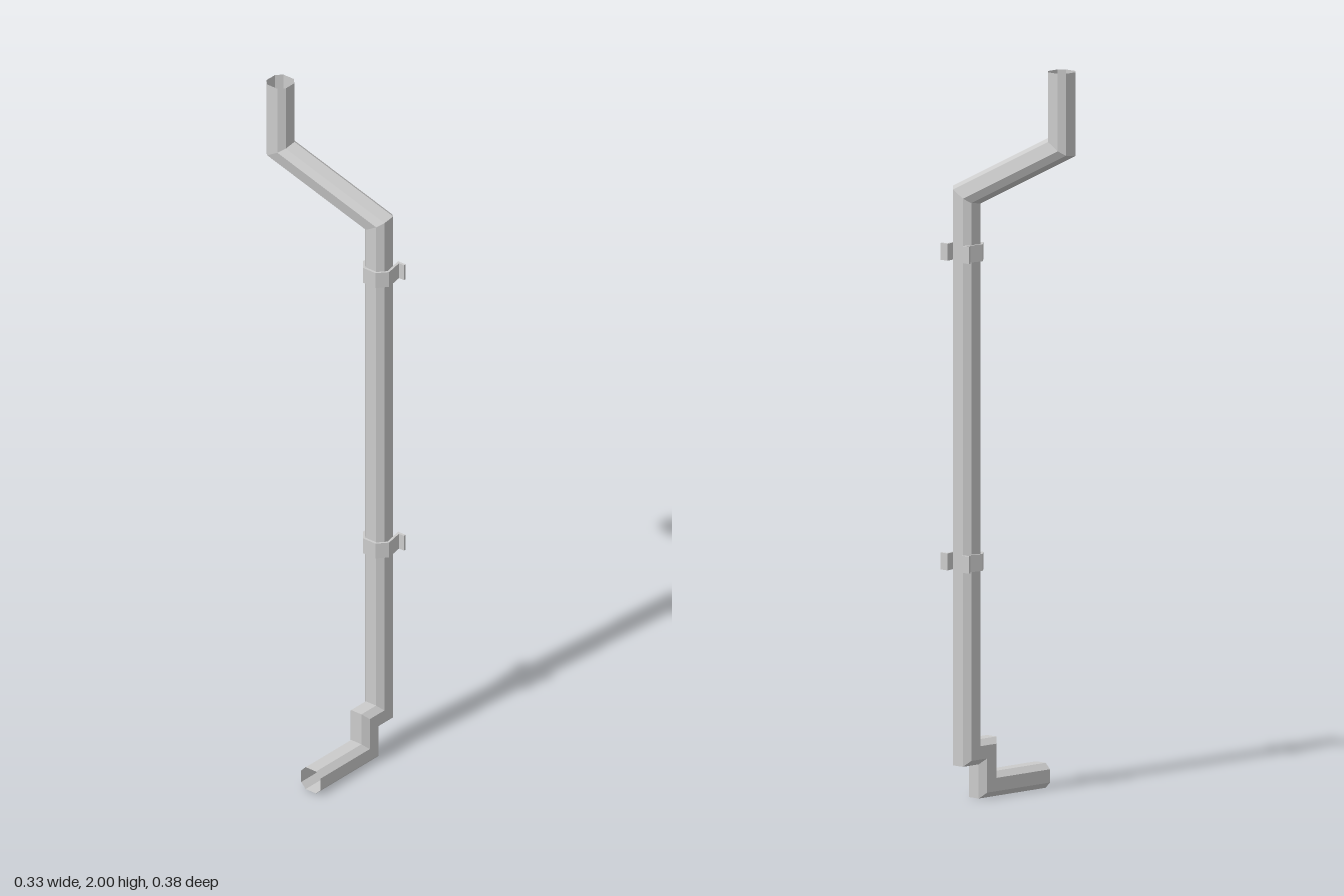
import * as THREE from 'three';

const material = new THREE.MeshStandardMaterial({ color: 0xcccccc, flatShading: true, side: THREE.DoubleSide });
const PIPE_X = 0.117, PIPE_Z = 0.135;

// Sweeps a chamfered-square section along a path with mitred corners.
function mitredPipe(path, half, flat) {
  const section = [
    [half, flat], [flat, half], [-flat, half], [-half, flat],
    [-half, -flat], [-flat, -half], [flat, -half], [half, -flat],
  ];
  const n = section.length;
  const dirs = path.slice(1).map((p, i) => p.clone().sub(path[i]).normalize());
  let ring = section.map(([x, z]) => new THREE.Vector3(x, 0, z).add(path[0]));
  const positions = [];
  dirs.forEach((dir, i) => {
    // Slide every corner along the run until it meets the mitre plane
    const normal = dir.clone().add(dirs[i + 1] ?? dir).normalize();
    const next = ring.map((p) => {
      const t = path[i + 1].clone().sub(p).dot(normal) / dir.dot(normal);
      return p.clone().addScaledVector(dir, t);
    });
    for (let k = 0; k < n; k++) {
      const m = (k + 1) % n;
      for (const p of [ring[k], ring[m], next[k], ring[m], next[m], next[k]]) positions.push(p.x, p.y, p.z);
    }
    ring = next;
  });
  const geometry = new THREE.BufferGeometry();
  geometry.setAttribute('position', new THREE.Float32BufferAttribute(positions, 3));
  // Corner order runs inward here, so flip each triangle to face out
  const a = geometry.attributes.position;
  const outward = ring.length && new THREE.Triangle(
    ...[0, 1, 2].map((i) => new THREE.Vector3().fromBufferAttribute(a, i))
  ).getNormal(new THREE.Vector3()).x > 0;
  if (!outward) geometry.setIndex(Array.from({ length: a.count }, (_, i) => i - (i % 3) + (2 - (i % 3))));
  geometry.computeVertexNormals();
  return geometry;
}

// Bent metal strap with two outward flanges, symmetric about the pipe.
function strapGeometry(height) {
  const outer = [[0.157, 0.053], [0.157, 0.036], [0.104, 0.046], [0.076, 0.022]];
  const inner = [[0.083, 0.02], [0.105, 0.039], [0.164, 0.027], [0.164, 0.053]];
  const mirror = (pts) => pts.map(([x, z]) => [x, -z]).reverse();
  const outline = [...outer, ...mirror(outer), ...mirror(inner), ...inner];
  const shape = new THREE.Shape(outline.map(([x, z]) => new THREE.Vector2(x, z)));
  const geometry = new THREE.ExtrudeGeometry(shape, { depth: height, bevelEnabled: false });
  return geometry.rotateX(Math.PI / 2).translate(0, height / 2, PIPE_Z);
}

export function createModel() {
  const group = new THREE.Group();

  // Downpipe from gutter outlet to the foot spout
  const path = [
    [0.049, 2, -0.154], [0.049, 1.795, -0.154],
    [PIPE_X, 1.642, PIPE_Z], [PIPE_X, 0.127, PIPE_Z],
    [0.056, 0.127, PIPE_Z], [0.056, 0.034, PIPE_Z], [-0.167, 0.034, PIPE_Z],
  ].map((p) => new THREE.Vector3(...p));
  const pipe = new THREE.Mesh(mitredPipe(path, 0.034, 0.018), material);
  pipe.name = 'downpipe';
  group.add(pipe);

  // Wall straps
  const strap = strapGeometry(0.046);
  [['upperStrap', 1.487], ['lowerStrap', 0.646]].forEach(([name, y]) => {
    const mesh = new THREE.Mesh(strap, material);
    mesh.name = name;
    mesh.position.y = y;
    group.add(mesh);
  });

  return group;
}
